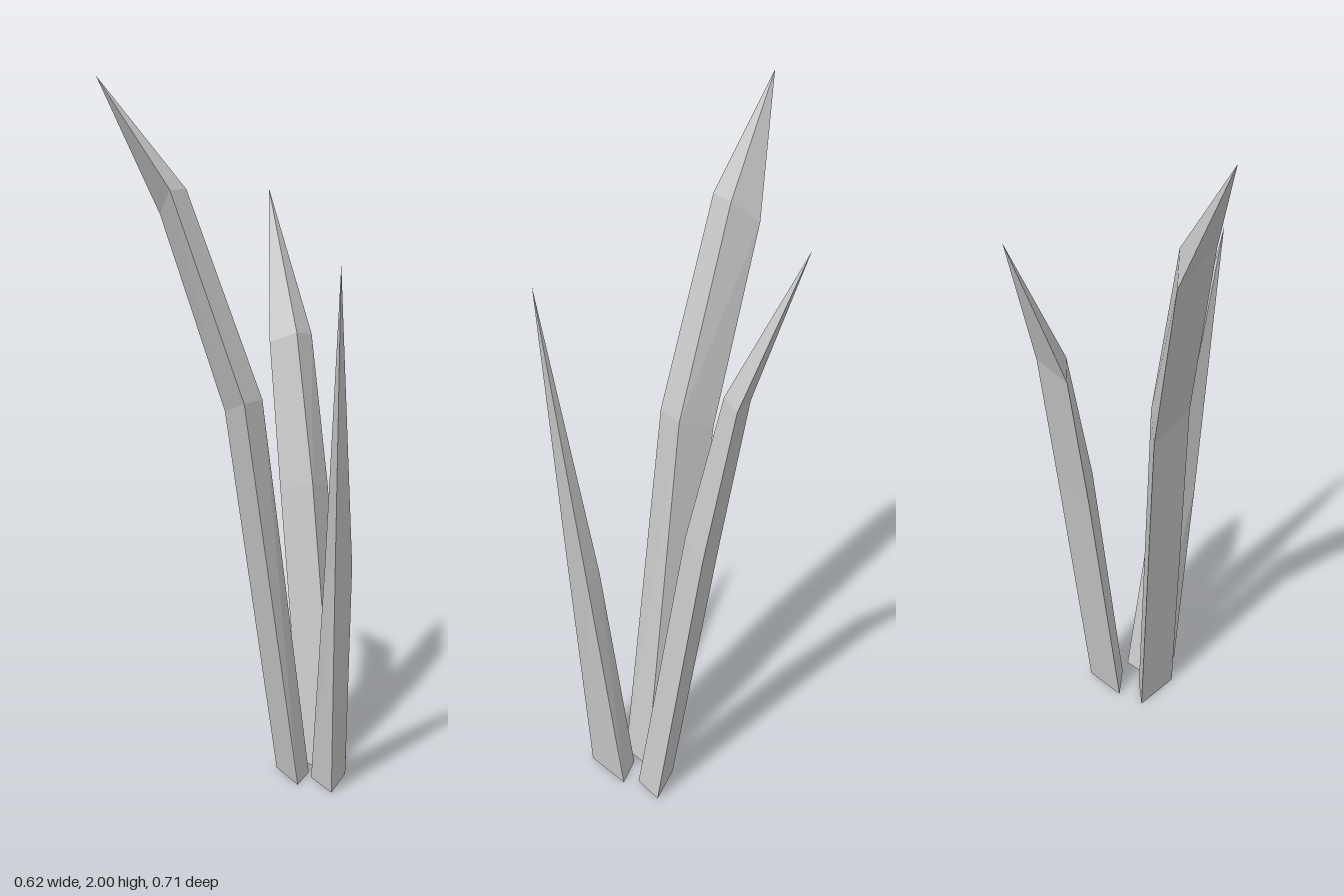
import * as THREE from 'three';

// Builds a blade from triangular cross-sections (counter-clockwise from above) closing in a point
function makeBlade(name, sections, tip, material) {
  const points = [];
  const triangle = (a, b, c) => points.push(...a, ...b, ...c);

  const [p, q, r] = sections[0];
  triangle(p, r, q); // underside, reversed below to face down
  points.length = 0;
  triangle(p, q, r);

  for (let s = 0; s < sections.length; s++) {
    const low = sections[s];
    const high = sections[s + 1];
    for (let i = 0; i < 3; i++) {
      const j = (i + 1) % 3;
      if (high) {
        triangle(low[i], low[j], high[j]);
        triangle(low[i], high[j], high[i]);
      } else {
        triangle(low[i], low[j], tip);
      }
    }
  }

  // The underside winds the other way so that it faces down
  const cap = [...p, ...r, ...q];
  points.splice(0, 9, ...cap);

  const geometry = new THREE.BufferGeometry();
  geometry.setAttribute('position', new THREE.Float32BufferAttribute(points, 3));
  geometry.computeVertexNormals();
  const mesh = new THREE.Mesh(geometry, material);
  mesh.name = name;
  return mesh;
}

export function createModel() {
  const group = new THREE.Group();
  group.name = 'grassTuft';
  const material = new THREE.MeshStandardMaterial({ color: 0xcccccc, flatShading: true });

  // Tall blade, arching back to the right
  group.add(makeBlade('tallBlade', [
    [[0.01, 0, 0.123], [0.103, 0, 0.072], [0.06, 0, -0.02]],
    [[-0.083, 1.1, 0], [0.018, 1.1, -0.036], [-0.03, 1.06, -0.143]],
    [[-0.207, 1.69, -0.167], [-0.12, 1.69, -0.2], [-0.145, 1.62, -0.288]],
  ], [-0.312, 2, -0.355], material));

  // Middle blade, arching back to the left
  group.add(makeBlade('middleBlade', [
    [[0.173, 0, 0.108], [0.265, 0, 0.065], [0.142, 0, 0]],
    [[0.205, 0.84, -0.023], [0.3, 0.81, -0.055], [0.174, 0.8, -0.127]],
    [[0.232, 1.27, -0.12], [0.312, 1.26, -0.14], [0.197, 1.24, -0.2]],
  ], [0.306, 1.69, -0.323], material));

  // Short blade, leaning forward
  group.add(makeBlade('shortBlade', [
    [[0.078, 0, 0.108], [0.04, 0, 0.23], [0.173, 0, 0.153]],
    [[0.04, 0.65, 0.198], [-0.006, 0.65, 0.285], [0.106, 0.65, 0.24]],
  ], [-0.06, 1.5, 0.354], material));

  return group;
}
